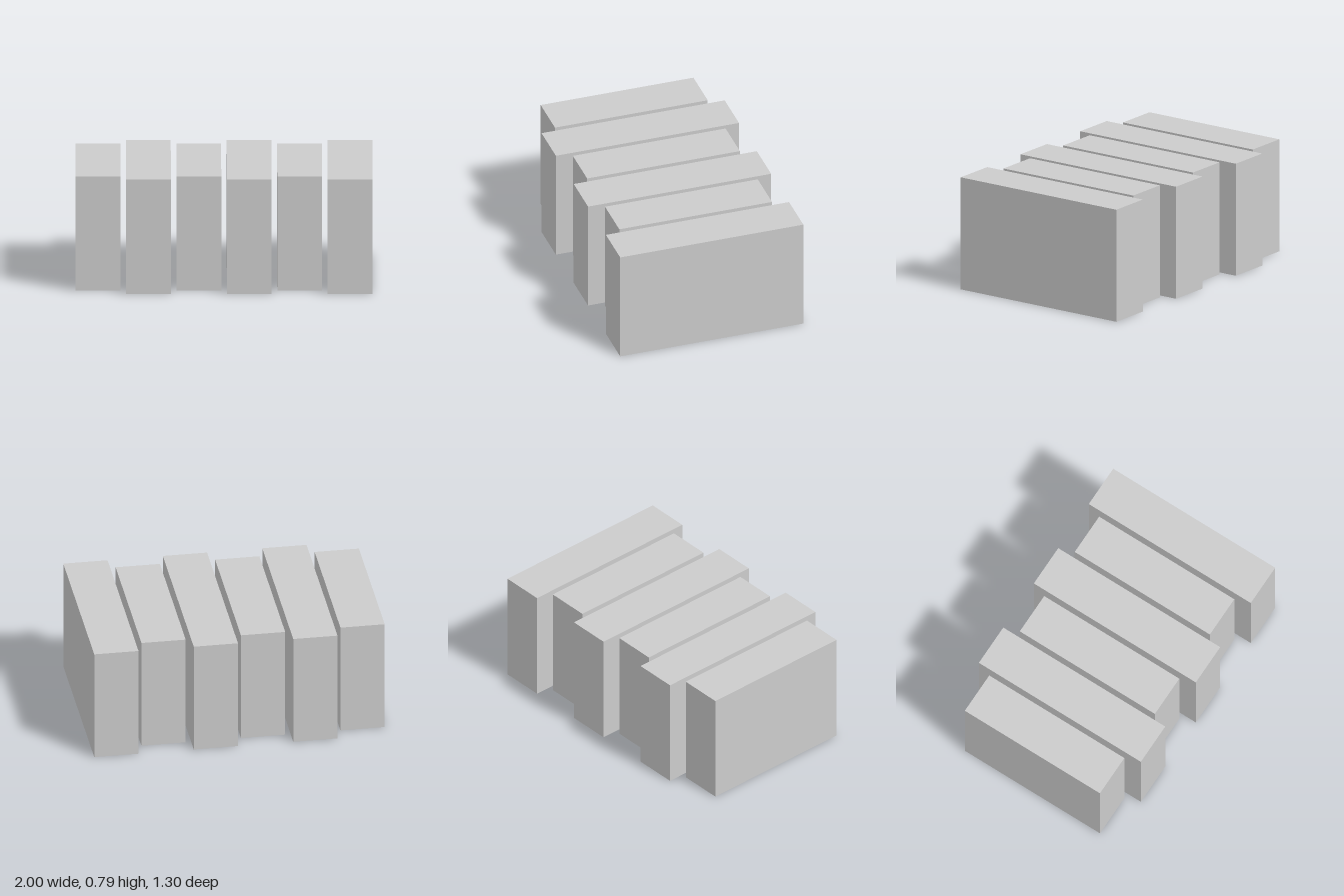
import * as THREE from 'three';

export function createModel() {
  const model = new THREE.Group();
  model.name = 'blockRow';
  const material = new THREE.MeshStandardMaterial({ color: 0xcccccc });

  const count = 6, width = 0.302, height = 0.787;
  const pitch = (2 - width) / (count - 1);
  const shortBlock = new THREE.BoxGeometry(width, height, 1.086);
  const longBlock = new THREE.BoxGeometry(width, height, 1.302);

  // Upright blocks side by side, alternating short and long
  for (let i = 0; i < count; i++) {
    const isLong = i % 2 === 1;
    const block = new THREE.Mesh(isLong ? longBlock : shortBlock, material);
    block.name = `${isLong ? 'long' : 'short'}Block${i + 1}`;
    block.position.set((i - (count - 1) / 2) * pitch, height / 2, 0);
    model.add(block);
  }
  return model;
}
